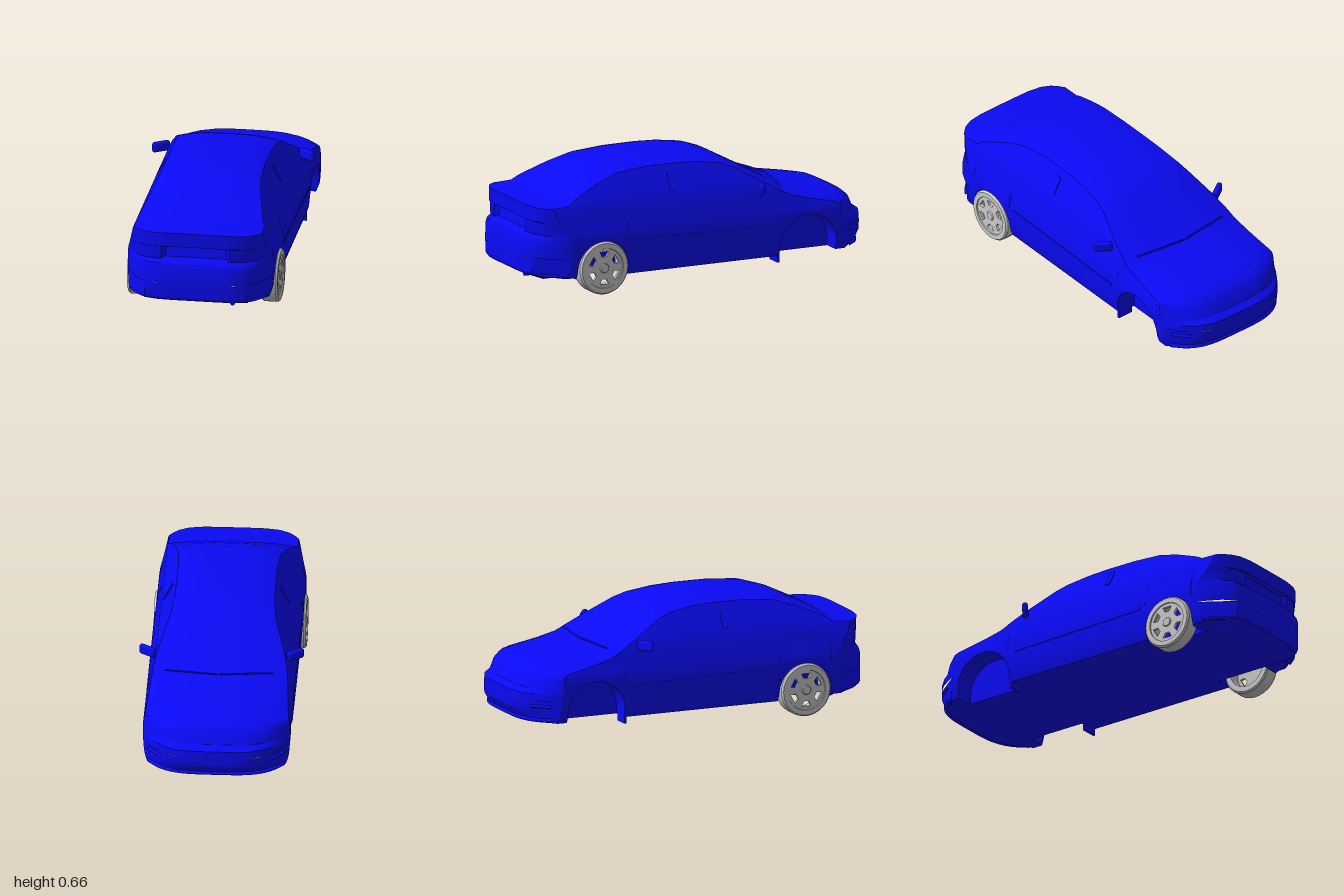
import * as THREE from 'three';
import { toCreasedNormals } from 'three/addons/utils/BufferGeometryUtils.js';
import { RoundedBoxGeometry } from 'three/addons/geometries/RoundedBoxGeometry.js';

const paint = new THREE.MeshStandardMaterial({ color: 0x0a0af5 });
const grey = new THREE.MeshStandardMaterial({ color: 0xcccccc, side: THREE.DoubleSide });

const FLOOR = 0.09;
const ARCHES = [{ z: -0.6, r: 0.165 }, { z: 0.605, r: 0.15 }];
const ARCH_Y = 0.135;

// Piecewise linear lookup through [input, output] pairs
function lookup(points, v) {
  if (v <= points[0][0]) return points[0][1];
  for (let i = 1; i < points.length; i++) {
    const [a, p] = points[i - 1], [b, q] = points[i];
    if (v <= b) return p + (q - p) * (v - a) / (b - a);
  }
  return points[points.length - 1][1];
}

// Half width of the body by height
const width = (y) => lookup([[0.09, 0.365], [0.13, 0.38], [0.22, 0.387], [0.29, 0.388], [0.33, 0.383],
  [0.38, 0.366], [0.47, 0.345], [0.63, 0.26]], y);
// Centreline height and crown along the length
const topAt = (z) => lookup([[-0.93, 0.335], [-0.9, 0.36], [-0.86, 0.38], [-0.8, 0.393], [-0.6, 0.427], [-0.5, 0.45],
  [-0.35, 0.53], [-0.2, 0.61], [-0.13, 0.635], [0, 0.655], [0.12, 0.661], [0.3, 0.66], [0.47, 0.645],
  [0.6, 0.603], [0.72, 0.545], [0.8, 0.502], [0.975, 0.485]], z);
const crownAt = (z) => lookup([[-0.93, 0.03], [-0.8, 0.05], [-0.55, 0.04], [-0.2, 0.03], [0.6, 0.03], [0.8, 0.02], [0.95, 0.01]], z);

// Cross-section stations from nose to tail
function stations() {
  const list = [
    { z: -1, top: 0.21, low: 0.21, crown: 0 },
    { z: -0.997, top: 0.25, low: 0.16, crown: 0.005 },
    { z: -0.958, top: 0.273, low: 0.1, crown: 0.01 },
  ];
  const add = (z, low = FLOOR) => list.push({ z, low, floor: FLOOR, top: topAt(z), crown: crownAt(z) });
  const arch = ({ z, r }) => {
    add(z - r);
    for (let i = 0; i <= 16; i++) {
      const a = Math.PI * (1 - i / 16);
      add(z + r * Math.cos(a), ARCH_Y + r * Math.sin(a));
    }
    add(z + r);
  };
  [-0.93, -0.9, -0.86, -0.8].forEach((z) => add(z));
  arch(ARCHES[0]);
  [-0.35, -0.27, -0.2, -0.13, -0.06, 0, 0.06, 0.12, 0.21, 0.3, 0.39].forEach((z) => add(z));
  arch(ARCHES[1]);
  [0.8, 0.86, 0.92].forEach((z) => add(z, 0.1));
  // Tail panel with the plate recess, then the bumper
  for (const [z, top, low, recess] of [[0.975, 0.485, 0.11], [0.972, 0.408, 0.11], [0.968, 0.405, 0.11, 0.03],
    [0.965, 0.345, 0.11, 0.018], [0.962, 0.335, 0.11], [0.985, 0.318, 0.115], [0.995, 0.29, 0.13],
    [0.997, 0.21, 0.21]]) {
    list.push({ z, top, low, recess, crown: top === low ? 0 : 0.008 });
  }
  return list;
}

// Rounds the nose and tail in plan
function planZ(x, z) {
  const u = Math.min(Math.abs(x) / 0.385, 1.02);
  if (z < -0.77) return -0.77 + (z + 0.77) * (1 - 0.87 * u ** 4);
  if (z > 0.765) return 0.765 + (z - 0.765) * (1 - 0.88 * u ** 6);
  return z;
}

// Closed ring of one station: floor, wheel well, side, greenhouse, roof
function ring(s) {
  const { low, top, crown } = s, floor = s.low === s.top ? low : (s.floor ? Math.min(s.floor, low) : low);
  const rail = top - crown, belt = Math.min(0.47, rail);
  const half = [0, 0.12, 0.2, 0.27].map((x) => [x, floor]);
  half.push([0.27, low]);
  for (const f of [0, 0.12, 0.25, 0.4, 0.55, 0.7, 0.85, 1]) {
    const y = low + (belt - low) * f;
    half.push([width(y), y]);
  }
  for (const f of [0.33, 0.67, 1]) {
    const y = belt + (rail - belt) * f;
    half.push([width(y), y]);
  }
  for (const u of [0.95, 0.85, 0.7, 0.49, 0.43, 0.3, 0.15, 0]) {
    half.push([width(rail) * u, rail + crown * (1 - u ** 3)]);
  }
  const mirrored = half.slice(1, -1).reverse().map(([x, y]) => [-x, y]);
  return [...half, ...mirrored].map(([x, y]) => {
    const inset = s.recess && Math.abs(x) < 0.17 && y > top - 0.02 ? s.recess : 0;
    return [x, y, planZ(x, s.z) - inset];
  });
}

function bodyGeometry() {
  const rings = stations().map(ring), n = rings[0].length, index = [];
  for (let i = 0; i < rings.length - 1; i++) {
    for (let j = 0; j < n; j++) {
      const k = (j + 1) % n, a = i * n + j, b = i * n + k;
      index.push(a, b, b + n, a, b + n, a + n);
    }
  }
  const g = new THREE.BufferGeometry();
  g.setAttribute('position', new THREE.Float32BufferAttribute(rings.flat(2), 3));
  g.setIndex(index);
  return toCreasedNormals(g.toNonIndexed(), 0.5);
}

function add(parent, name, geometry, material, x = 0, y = 0, z = 0) {
  const mesh = new THREE.Mesh(geometry, material);
  mesh.name = name;
  mesh.position.set(x, y, z);
  parent.add(mesh);
  return mesh;
}

function tube(points, radius) {
  const curve = new THREE.CatmullRomCurve3(points.map((p) => new THREE.Vector3(...p)));
  return new THREE.TubeGeometry(curve, 24, radius, 6);
}

// Wheel facing +x: hollow tyre and a disc with six windows
function makeWheel() {
  const wheel = new THREE.Group();
  const profile = [[0.105, -0.045], [0.134, -0.045], [0.142, -0.036], [0.142, 0.034], [0.134, 0.045],
    [0.108, 0.045], [0.105, 0.036], [0.105, -0.045]].map(([r, h]) => new THREE.Vector2(r, h));
  const tyre = add(wheel, 'tyre', toCreasedNormals(new THREE.LatheGeometry(profile, 40).toNonIndexed(), 0.6), grey);
  tyre.rotation.z = -Math.PI / 2;
  const disc = new THREE.Shape().absarc(0, 0, 0.107, 0, Math.PI * 2);
  for (let i = 0; i < 6; i++) {
    const a = Math.PI / 6 + i * Math.PI / 3;
    const corner = (r, d) => new THREE.Vector2(r * Math.cos(a + d), r * Math.sin(a + d));
    disc.holes.push(new THREE.Path([corner(0.062, -0.22), corner(0.092, -0.3), corner(0.092, 0.3), corner(0.062, 0.22)]));
  }
  const rim = add(wheel, 'rim', new THREE.ExtrudeGeometry(disc, { depth: 0.015, bevelEnabled: false, curveSegments: 20 }), grey, 0.024);
  rim.rotation.y = Math.PI / 2;
  const hub = add(wheel, 'hub', new THREE.CylinderGeometry(0.022, 0.028, 0.008, 20), grey, 0.041);
  hub.rotation.z = -Math.PI / 2;
  return wheel;
}

export function createModel() {
  const car = new THREE.Group();
  car.name = 'car';
  add(car, 'body', bodyGeometry(), paint);

  for (const s of [1, -1]) {
    const wheel = makeWheel();
    wheel.name = 'rearWheel';
    wheel.position.set(s * 0.355, 0.142, 0.605);
    if (s < 0) wheel.rotation.y = Math.PI;
    car.add(wheel);

    const mirror = add(car, 'doorMirror', new RoundedBoxGeometry(0.1, 0.056, 0.03, 4, 0.014), paint, s * 0.388, 0.467, -0.322);
    mirror.rotation.y = -s * 0.6;
    add(car, 'sideMoulding', new THREE.BoxGeometry(0.008, 0.016, 0.82), paint, s * 0.387, 0.263, 0.015).rotation.x = -0.02;
    const pillar = add(car, 'doorPillarTrim', new THREE.BoxGeometry(0.008, 0.1, 0.03), paint, s * 0.305, 0.545, 0.17);
    pillar.rotation.z = s * 0.488;
    add(car, 'mudFlap', new THREE.BoxGeometry(0.09, 0.06, 0.012), paint, s * 0.325, 0.085, -0.428);
  }

  // Wipers on the cowl
  add(car, 'wiper', tube([[-0.28, 0.447, -0.49], [-0.15, 0.452, -0.51], [0, 0.454, -0.53]], 0.005), paint);
  add(car, 'wiper', tube([[0.01, 0.454, -0.53], [0.15, 0.452, -0.51], [0.29, 0.447, -0.485]], 0.005), paint);

  // Bumper lips following the plan curve
  const lip = (z, y, radius) => tube(Array.from({ length: 13 }, (_, i) => {
    const x = (i / 6 - 1) * 0.355;
    return [x, y, planZ(x, z)];
  }), radius);
  add(car, 'frontLip', lip(-0.965, 0.105, 0.011), paint);
  add(car, 'frontBumperBar', lip(-0.985, 0.18, 0.009), paint);
  add(car, 'rearLip', lip(0.96, 0.115, 0.008), paint);

  const exhaust = add(car, 'exhaust', new THREE.CylinderGeometry(0.013, 0.013, 0.1, 14), paint, 0.2, 0.113, 0.93);
  exhaust.rotation.x = Math.PI / 2;
  return car;
}
